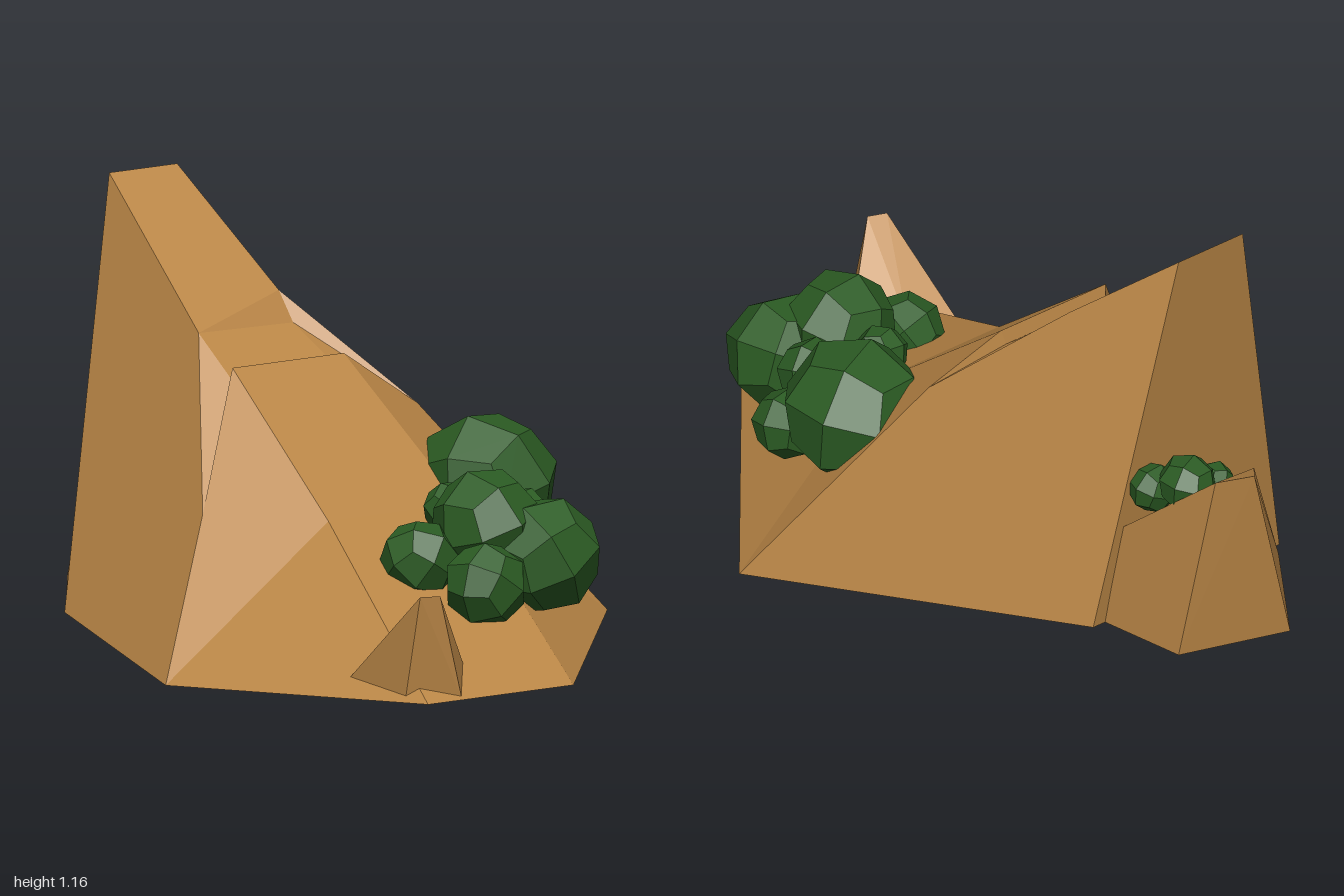
import * as THREE from 'three';
import { ConvexGeometry } from 'three/addons/geometries/ConvexGeometry.js';

const rockMat = new THREE.MeshStandardMaterial({ color: 0xba8646 });
rockMat.name = 'sandstone';
const leafMat = new THREE.MeshStandardMaterial({ color: 0x2b5b23 });
leafMat.name = 'leaf green';

// Solid from named corners and counter-clockwise polygons; each polygon is a fan
// from its first corner and has one normal, so bent polygons are still shaded flat
function facetedSolid(corners, faces) {
  const pos = [];
  const nor = [];
  for (const face of faces) {
    const pts = face.split(' ').map((id) => new THREE.Vector3(...corners[id]));
    const normal = new THREE.Vector3();
    pts.forEach((p, i) => normal.add(p.clone().cross(pts[(i + 1) % pts.length])));
    normal.normalize();
    for (let i = 1; i < pts.length - 1; i++) {
      for (const p of [pts[0], pts[i], pts[i + 1]]) {
        pos.push(...p.toArray());
        nor.push(...normal.toArray());
      }
    }
  }
  const g = new THREE.BufferGeometry();
  g.setAttribute('position', new THREE.Float32BufferAttribute(pos, 3));
  g.setAttribute('normal', new THREE.Float32BufferAttribute(nor, 3));
  return g;
}

function convexRock(points) {
  return new ConvexGeometry(points.map((p) => new THREE.Vector3(...p)));
}

// Rounded cube of 24 flat kites; the eight corners sit slightly lower to keep them planar
function kiteBall() {
  const g = new THREE.BoxGeometry(2, 2, 2, 2, 2, 2).toNonIndexed();
  const p = g.attributes.position;
  const v = new THREE.Vector3();
  for (let i = 0; i < p.count; i++) {
    v.fromBufferAttribute(p, i);
    v.setLength(v.lengthSq() > 2.5 ? 0.947 : 1);
    p.setXYZ(i, v.x, v.y, v.z);
  }
  g.computeVertexNormals();
  return g;
}

function addMesh(parent, name, geometry, material) {
  const m = new THREE.Mesh(geometry, material);
  m.name = name;
  parent.add(m);
  return m;
}

export function createModel() {
  const model = new THREE.Group();
  model.name = 'rockOutcrop';

  // Main leaning rock with a notch across its ridge
  const corners = {
    // base
    A: [0.2, 0, 0.72], C: [0.995, 0.04, 0.45], D: [0.995, 0.04, -0.02],
    B: [0.185, 0.04, -0.72], E: [-0.62, 0.04, -0.19], F: [-0.62, 0.04, 0.45],
    // peak and end of the upper slope
    T1: [-0.765, 1.16, 0.2], T2: [-0.765, 1.16, -0.02],
    R1: [-0.34, 0.8, 0.22], R2: [-0.41, 0.87, -0.09],
    // notch
    N2: [-0.36, 0.79, -0.1], M1: [-0.2, 0.69, 0.21], M2: [-0.2, 0.69, -0.13],
    // lower slope
    S1: [-0.19, 0.73, 0.22], S2: [-0.19, 0.73, -0.14],
    G1: [0.25, 0.39, 0.23], G2: [0.25, 0.39, -0.2],
    // bottoms of the crevices
    P: [-0.02, 0.39, 0.44], Q: [-0.11, 0.59, -0.32],
  };
  addMesh(model, 'mainRock', facetedSolid(corners, [
    'E F T1 T2', 'T1 F A P R1', 'E T2 R2 Q B', 'T1 R1 R2 T2',
    'R1 N2 R2', 'R1 M1 M2 N2', 'M2 M1 S1 S2',
    'R1 P M1', 'M1 P S1', 'S2 Q M2', 'M2 Q N2', 'N2 Q R2',
    'S1 G1 G2 S2', 'G1 C D G2', 'P A G1 S1', 'A C G1',
    'Q S2 G2 B', 'D B G2', 'A F E B D C',
  ]), rockMat);

  // Lower slab behind the peak
  addMesh(model, 'sideRock', convexRock([
    [-0.98, 0.05, 0.18], [-0.64, 0.03, 0.43], [-0.55, 0.04, -0.16], [-0.87, 0.04, -0.11],
    [-1, 0.59, 0.04], [-0.96, 0.59, -0.06], [-0.77, 0.43, 0.235],
    [-0.57, 0.27, 0.16], [-0.6, 0.29, -0.13],
  ]), rockMat);

  // Small pointed stone at the low end
  addMesh(model, 'smallRock', convexRock([
    [0.7, 0.07, 0.49], [0.91, 0.05, 0.46], [0.98, 0.04, 0.33], [0.85, 0.1, 0.23],
    [0.77, 0.1, 0.36], [0.96, 0.32, 0.45], [0.98, 0.32, 0.4],
  ]), rockMat);

  // Bushes: x, y, z, radius of each clump
  const clumps = {
    slopeBush: [
      [0.16, 0.41, -0.345, 0.198], [0.525, 0.39, -0.08, 0.152], [0.62, 0.31, -0.195, 0.16],
      [0.68, 0.265, 0.035, 0.115], [0.49, 0.31, 0.11, 0.108], [0.34, 0.4, -0.1, 0.075],
      [0.43, 0.36, -0.26, 0.095], [0.385, 0.275, -0.38, 0.098],
    ],
    sideBush: [
      [-0.8, 0.5, -0.02, 0.08], [-0.71, 0.46, -0.06, 0.068], [-0.79, 0.46, 0.08, 0.056],
    ],
  };
  const ball = kiteBall();
  for (const [name, list] of Object.entries(clumps)) {
    const bush = new THREE.Group();
    bush.name = name;
    list.forEach(([x, y, z, r], i) => {
      const clump = addMesh(bush, 'leafClump', ball, leafMat);
      clump.position.set(x, y, z);
      clump.scale.setScalar(r);
      clump.rotation.set(0.3 + i * 0.9, 0.4 + i * 1.3, i * 0.7);
    });
    model.add(bush);
  }
  return model;
}
